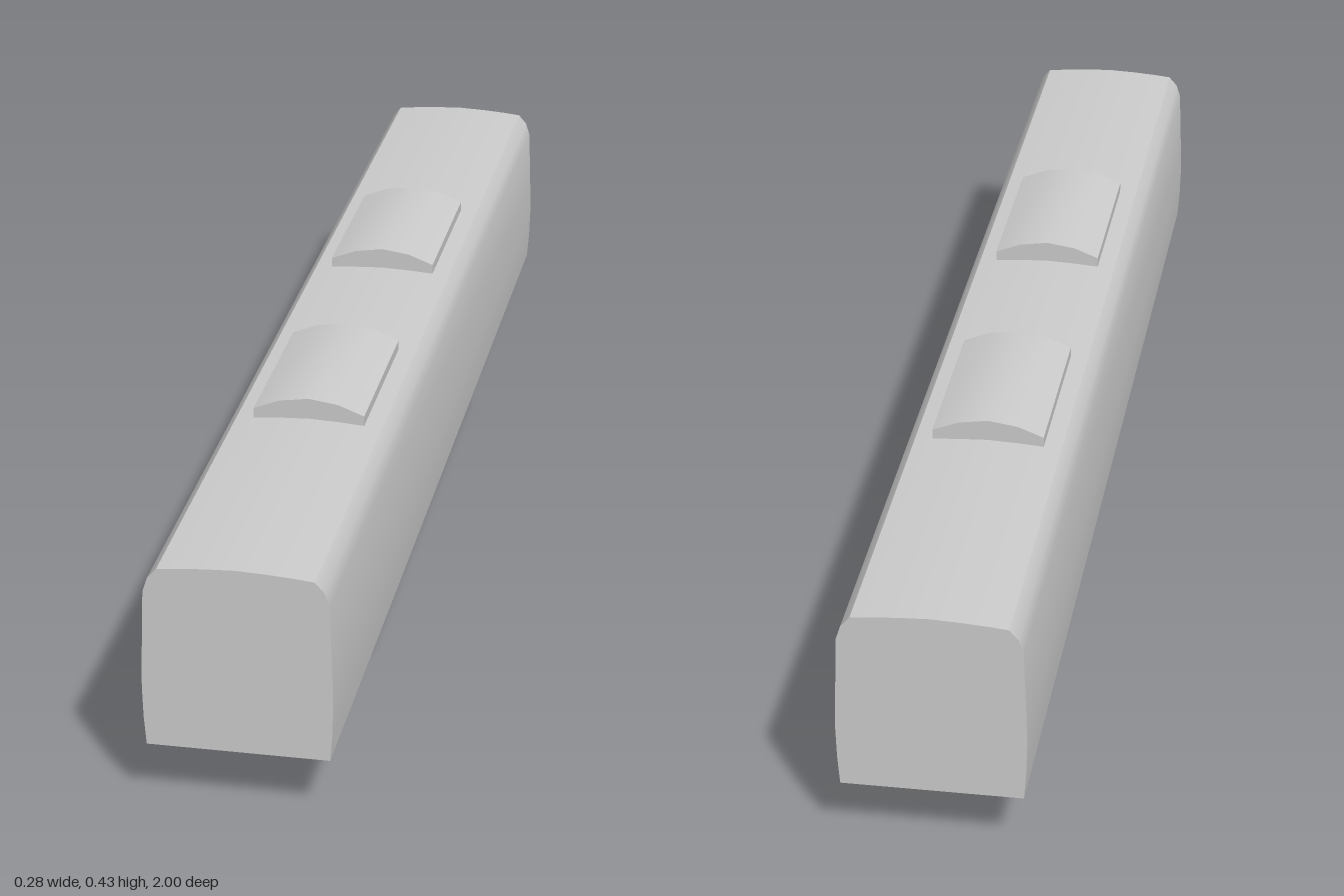
import * as THREE from 'three';
import { toCreasedNormals } from 'three/addons/utils/BufferGeometryUtils.js';

const material = new THREE.MeshStandardMaterial({ color: 0xcccccc, side: THREE.DoubleSide });

// Half profiles from the lower side edge up to the centre line
const bodyHalf = [
  [0.137, 0.095], [0.1405, 0.14], [0.142, 0.19], [0.141, 0.235], [0.137, 0.346],
  [0.13, 0.368], [0.116, 0.384], [0.088, 0.387], [0.047, 0.39], [0, 0.392],
];
const roofUnitHalf = [[0.088, 0.386], [0.088, 0.403], [0.047, 0.419], [0, 0.426]];

function mirrorProfile(half) {
  const other = half.slice(0, -1).reverse().map(([x, y]) => [-x, y]);
  return [...half, ...other];
}

function addMesh(parent, name, geometry) {
  const mesh = new THREE.Mesh(geometry, material);
  mesh.name = name;
  parent.add(mesh);
  return mesh;
}

// Thin shell, open below: a sheet bent along the profile, plus two end walls
function createShell(name, half, length) {
  const group = new THREE.Group();
  group.name = name;
  const profile = mirrorProfile(half);
  const n = profile.length;

  const sheet = new THREE.PlaneGeometry(1, length, n - 1, 1);
  const pos = sheet.attributes.position;
  for (let i = 0; i < pos.count; i++) {
    const [x, y] = profile[i % n];
    pos.setXYZ(i, x, y, pos.getY(i));
  }
  addMesh(group, name + 'Skin', toCreasedNormals(sheet, 0.6));

  const shape = new THREE.Shape(profile.map(([x, y]) => new THREE.Vector2(x, y)));
  addMesh(group, name + 'FrontEnd', new THREE.ShapeGeometry(shape)).position.z = length / 2;
  const back = addMesh(group, name + 'BackEnd', new THREE.ShapeGeometry(shape));
  back.position.z = -length / 2;
  back.rotation.y = Math.PI;
  return group;
}

// Flat part standing in a lengthwise plane, facing outwards
function addSidePlate(parent, name, geometry, side, x, y, z) {
  const mesh = addMesh(parent, name, geometry);
  mesh.rotation.y = side * Math.PI / 2;
  mesh.position.set(side * x, y, z);
}

export function createModel() {
  const model = new THREE.Group();
  model.name = 'railCarriage';

  model.add(createShell('body', bodyHalf, 2));

  // Roof units
  for (const end of [1, -1]) {
    const unit = createShell('roofUnit', roofUnitHalf, 0.305);
    unit.position.z = end * 0.318;
    model.add(unit);
  }

  const skirt = new THREE.PlaneGeometry(1.006, 0.071);
  const frame = new THREE.PlaneGeometry(0.247, 0.048);
  const wheel = new THREE.CircleGeometry(0.045, 24);

  for (const side of [1, -1]) {
    // Equipment skirt between the bogies
    addSidePlate(model, 'skirt', skirt, side, 0.11, 0.0595, 0.014);
    // Bogie side frames and wheels
    for (const end of [1, -1]) {
      const bogie = new THREE.Group();
      bogie.name = 'bogieSide';
      addSidePlate(bogie, 'bogieFrame', frame, side, 0.098, 0.064, end * 0.698);
      for (const z of [0.588, 0.812]) {
        addSidePlate(bogie, 'wheel', wheel, side, 0.068, 0.045, end * z);
      }
      model.add(bogie);
    }
  }
  return model;
}
